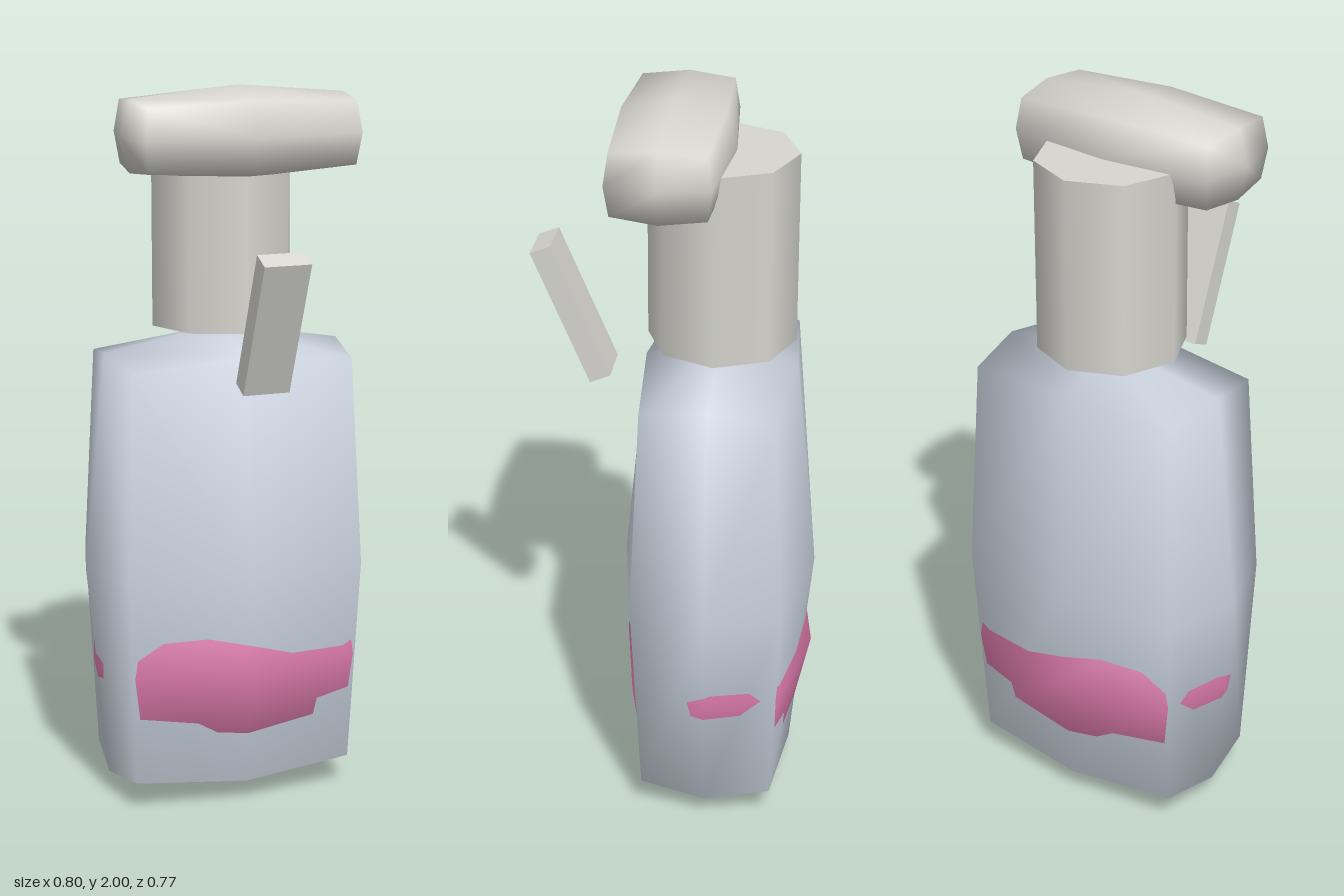
import * as THREE from 'three';

// Box whose edges are halved and whose face middles bulge out, smooth shaded.
// half: distance to the face middles; edge, corner: how far edges and corners draw in.
function bulgedBox(half, edge, corner) {
  const inset = [0, 0, edge, corner];
  const positions = [], index = [], ids = new Map();

  const vertex = (p) => {
    const key = p.join();
    if (!ids.has(key)) {
      const pull = inset[Math.abs(p[0]) + Math.abs(p[1]) + Math.abs(p[2])];
      ids.set(key, positions.length / 3);
      positions.push(...p.map((s, i) => s * (half[i] - pull)));
    }
    return ids.get(key);
  };

  for (let axis = 0; axis < 3; axis++) {
    const u = (axis + 1) % 3, v = (axis + 2) % 3;
    for (const side of [-1, 1]) for (const su of [-1, 1]) for (const sv of [-1, 1]) {
      const at = (a, b) => {
        const p = [0, 0, 0];
        p[axis] = side; p[u] = a; p[v] = b;
        return vertex(p);
      };
      const middle = at(0, 0), eu = at(su, 0), c = at(su, sv), ev = at(0, sv);
      // diagonals run the same way on opposite faces
      const ridge = axis === 1 ? su * sv > 0 : su * sv < 0;
      const tris = ridge
        ? [[middle, eu, c], [middle, c, ev]]
        : [[middle, eu, ev], [eu, c, ev]];
      for (const [i, j, k] of tris) {
        if (side * su * sv > 0) index.push(i, j, k);
        else index.push(i, k, j);
      }
    }
  }

  const geometry = new THREE.BufferGeometry();
  geometry.setAttribute('position', new THREE.Float32BufferAttribute(positions, 3));
  geometry.setIndex(index);
  geometry.computeVertexNormals();
  return geometry;
}

export function createModel() {
  const group = new THREE.Group();
  const plastic = new THREE.MeshStandardMaterial({ color: 0xd6d5cf });
  const glass = new THREE.MeshStandardMaterial({ color: 0xcfd7e3 });
  const pink = new THREE.MeshStandardMaterial({ color: 0xdd7bab });

  const add = (name, geometry, material, x, y, z) => {
    const mesh = new THREE.Mesh(geometry, material);
    mesh.name = name;
    mesh.position.set(x, y, z);
    group.add(mesh);
    return mesh;
  };

  // bottle, with the liquid showing through around its lower part
  add('bottle', bulgedBox([0.4, 0.665, 0.265], 0.06, 0.085), glass, 0, 0.667, -0.12);
  add('liquid', bulgedBox([0.38, 0.33, 0.262], 0.06, 0.085), pink, 0, 0.4, -0.12);

  // spray pump
  add('neck', new THREE.CylinderGeometry(0.2, 0.2, 0.53, 8), plastic, 0, 1.605, -0.12);
  add('sprayHead', bulgedBox([0.33, 0.125, 0.165], 0.028, 0.04), plastic, 0, 1.875, 0.01);

  // slanted trigger in front of the neck
  const trigger = add('trigger', new THREE.BoxGeometry(0.13, 0.4, 0.06), plastic, 0, 1.403, 0.28);
  trigger.rotation.x = 0.397;

  return group;
}
